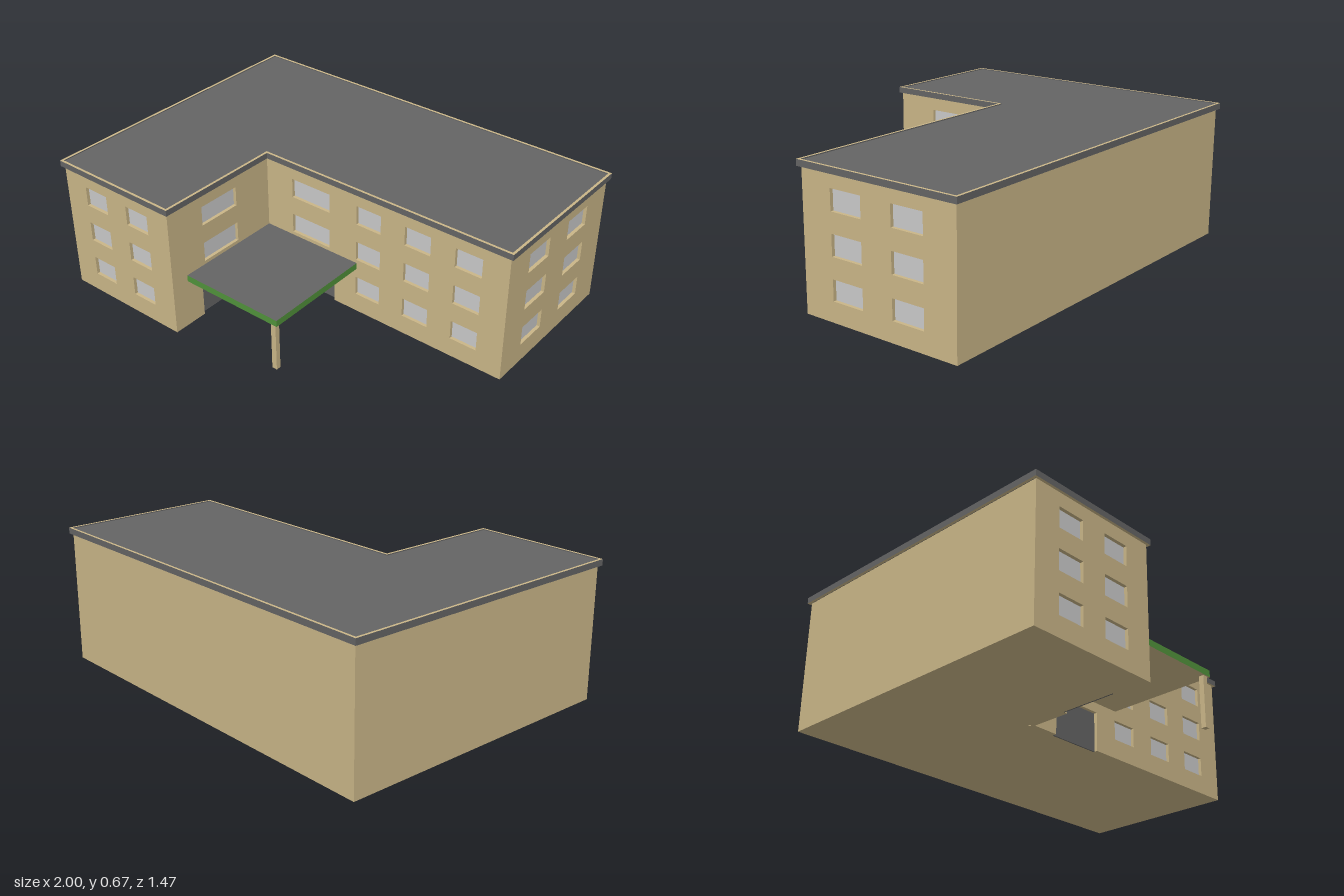
import * as THREE from 'three';

const mat = (name, color) => {
  const m = new THREE.MeshStandardMaterial({ color });
  m.name = name;
  return m;
};

const BASE = 0.01, TOP = 0.648;   // wall bottom and top
const DEPTH = 0.022;              // window and door recess
const FLOORS = [[0.104, 0.199], [0.295, 0.392], [0.485, 0.581]];
const DOOR_TOP = 0.199;

// L-shaped outline seen from above (shape y is -z)
function lPoints(x0, x1, zBack, zFront, xIn, zIn) {
  return [[x0, zFront], [xIn, zFront], [xIn, zIn], [x1, zIn], [x1, zBack], [x0, zBack]]
    .map(([x, z]) => new THREE.Vector2(x, -z));
}

// Upright slab from a plan shape
function slab(shape, y0, y1) {
  const g = new THREE.ExtrudeGeometry(shape, { depth: y1 - y0, bevelEnabled: false });
  return g.rotateX(-Math.PI / 2).translate(0, y0, 0);
}

function rectPath(x0, x1, y0, y1) {
  return new THREE.Path([[x0, y0], [x0, y1], [x1, y1], [x1, y0]].map(p => new THREE.Vector2(...p)));
}

export function createModel() {
  const model = new THREE.Group();
  model.name = 'building';
  const wall = mat('wall tan', 0xc9b587);
  const roof = mat('roof grey', 0x646464);
  const glass = mat('window grey', 0xc9c9c9);
  const green = mat('canopy green', 0x50913a);

  const add = (parent, name, geometry, material) => {
    const m = new THREE.Mesh(geometry, material);
    m.name = name;
    parent.add(m);
    return m;
  };

  // Solid core behind the window walls
  add(model, 'buildingCore', slab(new THREE.Shape(
    lPoints(-0.985, 0.985 - DEPTH, -0.722, 0.722 - DEPTH, -0.33 - DEPTH, 0.08 - DEPTH)), BASE, TOP), wall);

  // Wall with openings, drawn facing +z with its outer face at z = 0
  function facade(name, u0, u1, columns, door) {
    const group = new THREE.Group();
    group.name = name;
    const outline = [[u0, BASE]];
    if (door) outline.push([door[0], BASE], [door[0], DOOR_TOP], [door[1], DOOR_TOP], [door[1], BASE]);
    outline.push([u1, BASE], [u1, TOP], [u0, TOP]);
    const shape = new THREE.Shape(outline.map(p => new THREE.Vector2(...p)));
    const pane = (label, a, b, y0, y1, material) => add(group, label,
      new THREE.BoxGeometry(b - a, y1 - y0, 0.006)
        .translate((a + b) / 2, (y0 + y1) / 2, -DEPTH + 0.003), material);
    for (const [a, b, firstFloor] of columns) {
      for (const [y0, y1] of FLOORS.slice(firstFloor)) {
        shape.holes.push(rectPath(a, b, y0, y1));
        pane('window', a, b, y0, y1, glass);
      }
    }
    if (door) pane('door', door[0], door[1], BASE, DOOR_TOP, roof);
    add(group, 'wall', new THREE.ExtrudeGeometry(shape, { depth: DEPTH, bevelEnabled: false })
      .translate(0, 0, -DEPTH), wall);
    model.add(group);
    return group;
  }

  facade('wingFront', -0.985, -0.33, [[-0.856, -0.721, 0], [-0.595, -0.46, 0]]).position.z = 0.722;
  facade('mainFront', -0.33 - DEPTH / 2, 0.985,
    [[-0.178, 0.041, 1], [0.195, 0.33, 0], [0.459, 0.595, 0], [0.72, 0.855, 0]],
    [-0.198, 0.07]).position.z = 0.08;

  // Walls facing +x: local u is -z
  const end = facade('mainEnd', -0.08, 0.722, [[0.077, 0.241, 0], [0.398, 0.56, 0]]);
  end.rotation.y = Math.PI / 2;
  end.position.x = 0.985;
  const inner = facade('wingInnerSide', -0.722, -0.08 + DEPTH / 2, [[-0.516, -0.296, 1]], [-0.543, -0.269]);
  inner.rotation.y = Math.PI / 2;
  inner.position.x = -0.33;

  // Roof: grey fascia with a tan top rim around a grey deck
  const rim = 0.012;
  const inside = lPoints(-1 + rim, 1 - rim, -0.735 + rim, 0.735 - rim, -0.317 - rim, 0.093 - rim);
  const edge = new THREE.Shape(lPoints(-1, 1, -0.735, 0.735, -0.317, 0.093));
  edge.holes.push(new THREE.Path(inside));
  add(model, 'roofEdge', slab(edge, 0.645, 0.674), [wall, roof]);
  add(model, 'roofDeck', slab(new THREE.Shape(inside), 0.646, 0.669), roof);

  // Entrance canopy: green edges, grey top, tan underside
  add(model, 'canopy', new THREE.BoxGeometry(0.53, 0.032, 0.552).translate(-0.065, 0.262, 0.356),
    [green, green, roof, wall, green, green]);
  add(model, 'canopyPost', new THREE.BoxGeometry(0.026, 0.247, 0.024).translate(0.174, 0.1235, 0.613), wall);

  return model;
}
